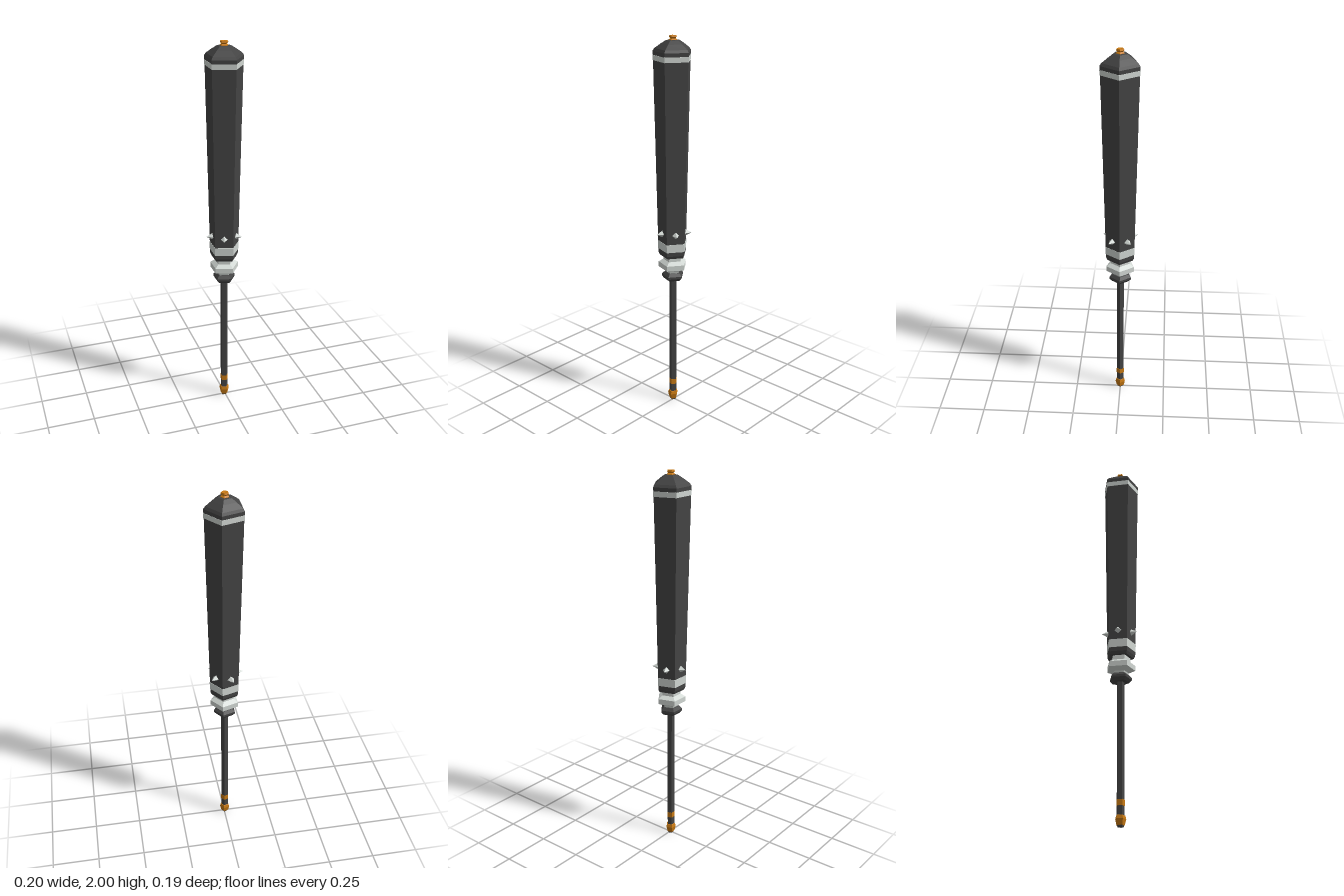
import * as THREE from 'three';

const SIDES = 5;
const CENTRE_X = -0.004;

function material(name, color) {
  return new THREE.MeshStandardMaterial({ name, color, flatShading: true });
}

// Five-sided turned part, one corner toward +x; profile is [radius, height] from bottom to top
function turned(name, mat, profile) {
  const points = profile.map(([r, y]) => new THREE.Vector2(r, y));
  const mesh = new THREE.Mesh(new THREE.LatheGeometry(points, SIDES, Math.PI / 2), mat);
  mesh.name = name;
  return mesh;
}

export function createModel() {
  const dark = material('charcoal', 0x444444);
  const silver = material('silver', 0xd2d8d4);
  const gold = material('amber gold', 0xc87a14);

  const model = new THREE.Group();
  model.name = 'pentagonalClub';
  const body = new THREE.Group();
  body.name = 'body';
  body.position.x = CENTRE_X;
  model.add(body);

  body.add(
    // Thin handle with gold grip band and pommel
    turned('handle', dark, [[0, 0], [0.016, 0], [0.02, 0.02], [0.02, 0.74]]),
    turned('gripBand', gold, [[0.02, 0.1], [0.0215, 0.1], [0.0215, 0.13], [0.02, 0.13]]),
    turned('pommel', gold, [[0, 0.008], [0.021, 0.008], [0.028, 0.038], [0.024, 0.054], [0.018, 0.056]]),
    // Guard and collar between handle and club
    turned('guard', dark, [[0, 0.73], [0.046, 0.73], [0.06, 0.745], [0.06, 0.757], [0.045, 0.772], [0, 0.772]]),
    turned('collar', silver, [
      [0, 0.77], [0.038, 0.77], [0.042, 0.783], [0.077, 0.798],
      [0.077, 0.826], [0.052, 0.842], [0.052, 0.868], [0, 0.868],
    ]),
    // Tapered club with rounded cap
    turned('club', dark, [
      [0, 0.865], [0.07, 0.865], [0.077, 0.88], [0.0785, 0.92],
      [0.0985, 1.88], [0.101, 1.925], [0.092, 1.938], [0.06, 1.961], [0.035, 1.977], [0, 1.981],
    ]),
    turned('lowerBand', silver, [[0.076, 0.902], [0.0795, 0.902], [0.0805, 0.946], [0.076, 0.946]]),
    turned('upperBand', silver, [[0.096, 1.88], [0.1005, 1.88], [0.1015, 1.906], [0.096, 1.906]]),
    // Finial on the cap
    turned('finial', gold, [[0.022, 1.972], [0.022, 1.98], [0.014, 1.986], [0.021, 1.993], [0.018, 2], [0.011, 2], [0, 1.996]])
  );

  // One pyramid stud in the middle of each face
  const studShape = new THREE.ConeGeometry(0.019, 0.034, 4);
  studShape.translate(0, 0.013, 0);
  studShape.rotateZ(-Math.PI / 2);
  for (let i = 0; i < SIDES; i++) {
    const holder = new THREE.Group();
    holder.name = 'studHolder';
    holder.position.y = 0.995;
    holder.rotation.y = ((i + 0.5) / SIDES) * Math.PI * 2;
    const stud = new THREE.Mesh(studShape, silver);
    stud.name = 'stud';
    stud.position.x = 0.067;
    holder.add(stud);
    body.add(holder);
  }
  return model;
}
